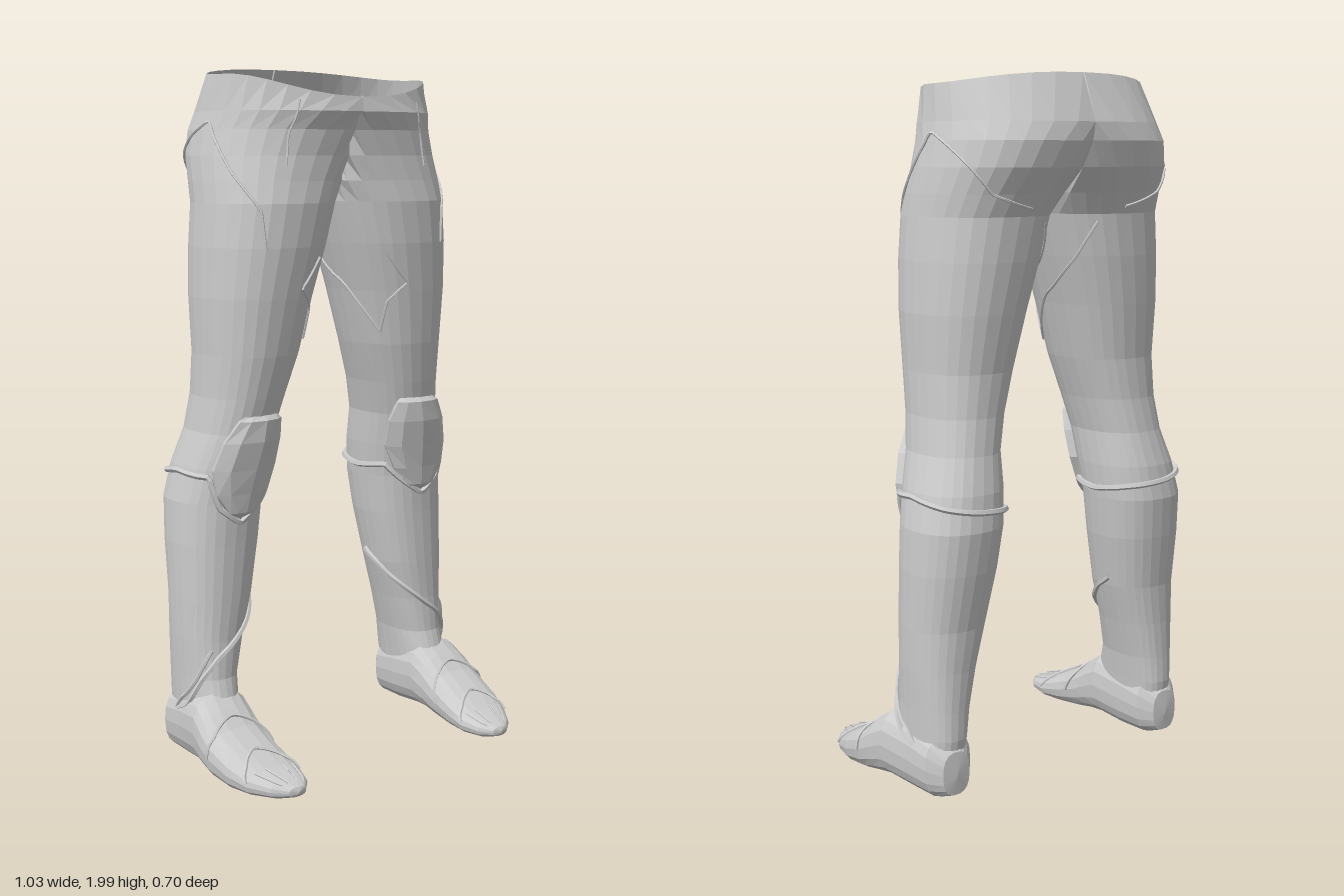
import * as THREE from 'three';

const material = new THREE.MeshStandardMaterial({ color: 0xcccccc, flatShading: true, side: THREE.DoubleSide });
const rad = THREE.MathUtils.degToRad;

// Leg cross-sections: height, inner x, outer x, front z, back z.
// A negative inner x is cut at the centre plane, which joins both legs into the hips.
const LEG = [
  [1.97, -0.33, 0.335, 0.145, -0.29],
  [1.87, -0.22, 0.35, 0.153, -0.345],
  [1.82, -0.13, 0.362, 0.13, -0.352],
  [1.75, -0.08, 0.376, 0.125, -0.335],
  [1.68, -0.03, 0.385, 0.13, -0.295],
  [1.62, 0.005, 0.39, 0.138, -0.268],
  [1.5, 0.038, 0.4, 0.132, -0.26],
  [1.36, 0.08, 0.405, 0.115, -0.245],
  [1.2, 0.122, 0.4, 0.093, -0.225],
  [1.08, 0.16, 0.402, 0.07, -0.226],
  [0.98, 0.185, 0.415, 0.048, -0.238],
  [0.88, 0.19, 0.447, 0.025, -0.262],
  [0.78, 0.2, 0.468, 0.008, -0.274],
  [0.66, 0.215, 0.473, 0.004, -0.26],
  [0.5, 0.245, 0.472, 0.002, -0.235],
  [0.38, 0.278, 0.47, 0, -0.23],
  [0.27, 0.305, 0.465, 0.005, -0.23],
  [0.19, 0.315, 0.463, 0.03, -0.232],
  [0.06, 0.33, 0.46, 0, -0.215],
];

// Foot cross-sections from heel to toe: z, centre x, half width, top y, bottom y
const FOOT = [
  [-0.238, 0.395, 0, 0.1, 0.09],
  [-0.232, 0.395, 0.045, 0.16, 0.035],
  [-0.19, 0.395, 0.078, 0.2, 0.02],
  [-0.1, 0.395, 0.085, 0.22, 0.02],
  [0, 0.4, 0.096, 0.235, 0.028],
  [0.05, 0.405, 0.1, 0.2, 0.025],
  [0.1, 0.406, 0.102, 0.16, 0.018],
  [0.18, 0.4, 0.1, 0.12, 0.012],
  [0.25, 0.388, 0.09, 0.086, 0.015],
  [0.31, 0.377, 0.062, 0.07, 0.02],
  [0.345, 0.372, 0.028, 0.058, 0.03],
  [0.352, 0.372, 0, 0.046, 0.04],
];

// Linear interpolation of a section table by its first column
function sample(table, t) {
  const dir = Math.sign(table[1][0] - table[0][0]);
  let i = 0;
  while (i < table.length - 2 && dir * (t - table[i + 1][0]) > 0) i++;
  const k = THREE.MathUtils.clamp((t - table[i][0]) / (table[i + 1][0] - table[i][0]), 0, 1);
  return table[i].map((v, c) => v + (table[i + 1][c] - v) * k);
}

const power = (v, p) => Math.sign(v) * Math.abs(v) ** p;

// Leg surface: angle 0 is outer, 90 front, 180 inner, 270 back
function legPoint(deg, y, off = 0) {
  const [, xi, xo, zf, zb] = sample(LEG, y);
  const c = power(Math.cos(rad(deg)), 0.86), s = power(Math.sin(rad(deg)), 0.86);
  const x = (xi + xo) / 2 + ((xo - xi) / 2 + off) * c;
  const z = (zf + zb) / 2 + ((zf - zb) / 2 + off) * s;
  // The waist rim dips at the front and rises at the back
  const rim = y > 1.96 ? (s > 0 ? -0.06 * s ** 3 : 0.03 * s * s) : 0;
  return new THREE.Vector3(Math.max(x, 0), y + rim, z);
}

// Foot surface: angle 0 is outer, 90 top, 270 sole
function footPoint(deg, z, off = 0) {
  const [, xc, hw, top, bottom] = sample(FOOT, z);
  const c = power(Math.cos(rad(deg)), 0.75), s = power(Math.sin(rad(deg)), 0.8);
  return new THREE.Vector3(xc + (hw + off) * c, (top + bottom) / 2 + ((top - bottom) / 2 + off) * s, z);
}

// Skin rows of points with triangles, leaving out those lying in the centre plane
function skin(name, rows) {
  const n = rows[0].length, index = [];
  const add = (...ids) => {
    if (ids.some((id) => rows[Math.floor(id / n)][id % n].x > 1e-5)) index.push(...ids);
  };
  for (let i = 0; i < rows.length - 1; i++) {
    for (let j = 0; j < n - 1; j++) {
      const a = i * n + j, b = a + n;
      add(a, a + 1, b);
      add(a + 1, b + 1, b);
    }
  }
  const geometry = new THREE.BufferGeometry().setFromPoints(rows.flat());
  geometry.setIndex(index);
  geometry.computeVertexNormals();
  const mesh = new THREE.Mesh(geometry, material);
  mesh.name = name;
  return mesh;
}

const loft = (name, table, point, sides) => skin(name, table.map(([t]) =>
  Array.from({ length: sides + 1 }, (_, j) => point((j % sides) * 360 / sides, t))));

// Thin raised seam following a surface through [angle, position] pairs
function seam(name, point, path, radius = 0.004, off = 0.002, closed = false) {
  const pts = [];
  const count = closed ? path.length : path.length - 1;
  for (let i = 0; i < count; i++) {
    const [a0, t0] = path[i], next = path[(i + 1) % path.length];
    const a1 = next[0] + (i + 1 === path.length ? 360 : 0);
    for (let k = 0; k < 4; k++) pts.push(point(a0 + (a1 - a0) * k / 4, t0 + (next[1] - t0) * k / 4, off));
  }
  if (!closed) pts.push(point(...path[path.length - 1], off));
  const curve = new THREE.CatmullRomCurve3(pts, closed);
  const mesh = new THREE.Mesh(new THREE.TubeGeometry(curve, pts.length * 2, radius, 5, closed), material);
  mesh.name = name;
  return mesh;
}

// Domed knee guard with a pointed lower end: height, half angle, lift
function kneeGuard() {
  const rows = [[1.035, 26, -0.004], [1.02, 34, 0.018], [0.96, 47, 0.03], [0.88, 49, 0.03],
    [0.81, 36, 0.026], [0.755, 16, 0.022], [0.73, 5, -0.004]];
  const across = [-1, -0.9, -0.5, 0, 0.5, 0.9, 1];
  return skin('kneeGuard', rows.map(([y, half, lift]) => across.map((u) =>
    legPoint(94 + u * half, y, Math.abs(u) === 1 ? -0.006 : lift * (1 - 0.35 * u * u)))));
}

function buildSide(name) {
  const side = new THREE.Group();
  side.name = name;
  side.add(
    loft('trouserLeg', LEG, legPoint, 28),
    loft('foot', FOOT, footPoint, 18),
    kneeGuard(),
    // Band below the knee, dipping under the guard
    seam('kneeBand', legPoint, [[0, 0.87], [45, 0.86], [68, 0.77], [92, 0.725], [116, 0.77],
      [140, 0.82], [180, 0.81], [225, 0.825], [270, 0.835], [315, 0.85]], 0.009, 0.006, true),
    // Hip panel and thigh seams
    seam('hipSeam', legPoint, [[64, 1.5], [56, 1.6], [30, 1.7], [3, 1.84], [-22, 1.78], [-60, 1.68], [-95, 1.64]]),
    seam('frontDart', legPoint, [[62, 1.9], [72, 1.72]], 0.003),
    seam('thighFold', legPoint, [[122, 1.47], [105, 1.385], [128, 1.33], [140, 1.24]]),
    seam('innerThighSeam', legPoint, [[140, 1.24], [175, 1.38], [215, 1.5], [240, 1.6]]),
    // Crossing ankle wraps
    seam('ankleWrap', legPoint, [[190, 0.53], [155, 0.46], [110, 0.39], [75, 0.33], [40, 0.26], [10, 0.19], [-15, 0.15]], 0.008, 0.004),
    seam('ankleWrapUpper', legPoint, [[65, 0.36], [35, 0.27], [0, 0.2], [-15, 0.15]], 0.006, 0.004),
    // Foot wraps
    seam('toeWrap', footPoint, [[10, 0.25], [50, 0.225], [90, 0.18], [130, 0.225], [170, 0.25]], 0.005),
    seam('instepWrap', footPoint, [[0, 0.1], [45, 0.1], [90, 0.07], [135, 0.1], [180, 0.13]], 0.005),
  );
  // Shallow grooves between the toes
  for (const a of [55, 80, 105, 130]) {
    side.add(seam('toeLine', footPoint, [[a, 0.25], [a, 0.325]], 0.003));
  }
  return side;
}

export function createModel() {
  const model = new THREE.Group();
  model.name = 'trousersAndFeet';
  const left = buildSide('leftSide');
  const right = buildSide('rightSide');
  right.scale.x = -1;
  model.add(left, right);
  return model;
}
